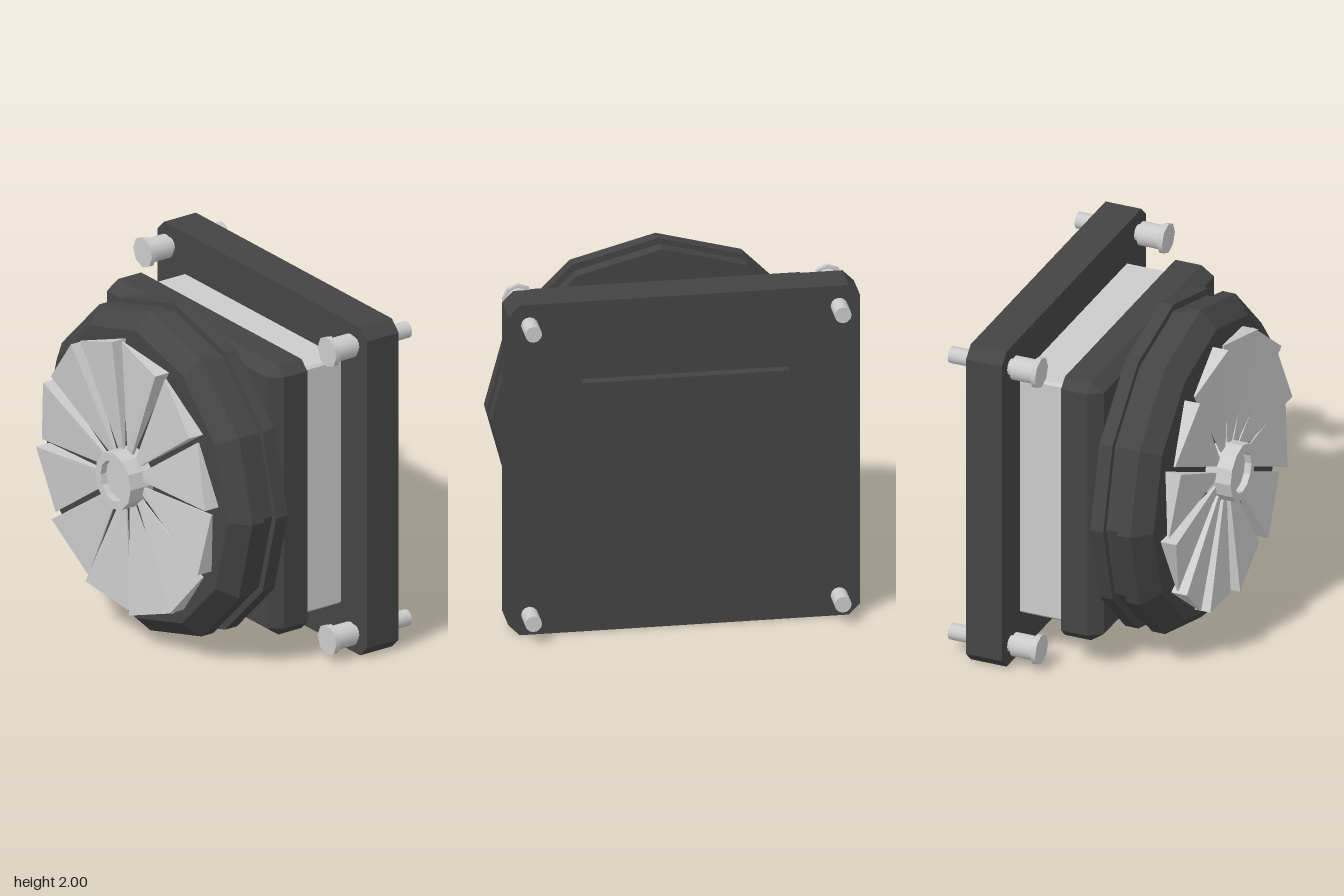
import * as THREE from 'three';

const DARK = 0x444444, GREY = 0xcccccc;

function makeMesh(name, geometry, color, flat = true) {
  const mesh = new THREE.Mesh(geometry, new THREE.MeshStandardMaterial({ color, flatShading: flat }));
  mesh.name = name;
  return mesh;
}

// Skin a run of equal-length point loops (counter-clockwise about the travel direction), capped at both ends
function loft(sections) {
  const n = sections[0].length, last = (sections.length - 1) * n, index = [];
  for (let s = 0; s < sections.length - 1; s++) {
    for (let i = 0; i < n; i++) {
      const a = s * n + i, b = s * n + (i + 1) % n;
      index.push(a, b, b + n, a, b + n, a + n);
    }
  }
  for (let i = 1; i < n - 1; i++) {
    index.push(0, i + 1, i, last, last + i, last + i + 1);
  }
  const geometry = new THREE.BufferGeometry();
  geometry.setAttribute('position', new THREE.Float32BufferAttribute(sections.flat(2), 3));
  geometry.setIndex(index);
  const out = geometry.toNonIndexed();
  out.computeVertexNormals();
  return out;
}

// Square with half-width h and corners cut by c, at depth z
function cutSquare(h, c, z) {
  const k = h - c;
  return [[h, -k], [h, k], [k, h], [-k, h], [-h, k], [-h, -k], [-k, -h], [k, -h]].map(([x, y]) => [x, y, z]);
}

// Solid of revolution about z from [radius, z] points
function turned(profile, sides) {
  const points = profile.map(([r, z]) => new THREE.Vector2(r, z));
  return new THREE.LatheGeometry(points, sides).rotateX(Math.PI / 2);
}

// Cylinder along z between two depths
function rod(radius, z0, z1, sides) {
  return new THREE.CylinderGeometry(radius, radius, z1 - z0, sides)
    .rotateX(Math.PI / 2).translate(0, 0, (z0 + z1) / 2);
}

// Wedge blade: thin at the hub and along one edge, thick at the other outer corner
function bladeGeometry() {
  const loop = (r, thickLow, thickHigh) => {
    const half = Math.PI / 12 - Math.asin(0.0175 / r);
    const x = r * Math.cos(half), y = r * Math.sin(half);
    return [[x, -y, -thickLow], [x, y, -thickHigh], [x, y, thickHigh], [x, -y, thickLow]];
  };
  return loft([loop(0.14, 0.006, 0.004), loop(0.81, 0.048, 0.005)]);
}

export function createModel() {
  const model = new THREE.Group();
  model.name = 'fanUnit';
  const body = new THREE.Group();
  body.name = 'body';
  body.position.y = 1;
  model.add(body);

  // Mounting plate with raised back pad
  body.add(makeMesh('mountingPlate', loft([cutSquare(1, 0.065, -0.555), cutSquare(1, 0.065, -0.335)]), DARK));
  const pad = makeMesh('backPad', new THREE.BoxGeometry(1.176, 1.05, 0.07), DARK);
  pad.position.set(0, 0.005, -0.58);
  body.add(pad);

  // Pale core between plate and front block
  body.add(makeMesh('core', loft([cutSquare(0.75, 0.015, -0.34), cutSquare(0.75, 0.015, -0.04)]), GREY));

  // Front block with bevelled front
  body.add(makeMesh('frontBlock', loft([
    cutSquare(0.82, 0.055, -0.052), cutSquare(0.82, 0.055, 0.108), cutSquare(0.765, 0, 0.186),
  ]), DARK));

  // Grooved twelve-sided disc
  body.add(makeMesh('groovedDisc', turned([
    [0, 0.195], [0.975, 0.195], [0.975, 0.275], [0.935, 0.275], [0.935, 0.36],
    [0.975, 0.36], [0.975, 0.44], [0.875, 0.54], [0, 0.54],
  ], 12), DARK));

  // Fan: hub with a shallow recess, and twelve blades
  const fan = new THREE.Group();
  fan.name = 'fan';
  body.add(fan);
  fan.add(makeMesh('hub', turned([
    [0.17, 0.53], [0.17, 0.7], [0.12, 0.7], [0.12, 0.66], [0, 0.66],
  ], 12), GREY));
  const blade = bladeGeometry();
  for (let i = 0; i < 12; i++) {
    const mesh = makeMesh('blade', blade, GREY);
    mesh.position.z = 0.6;
    mesh.rotation.z = THREE.MathUtils.degToRad(19.5 + 30 * i);
    fan.add(mesh);
  }

  // Corner bolts: flange, head and shank
  for (const sx of [-1, 1]) {
    for (const sy of [-1, 1]) {
      const bolt = new THREE.Group();
      bolt.name = 'bolt';
      bolt.position.set(sx * 0.88, sy * 0.878, 0);
      bolt.add(makeMesh('boltFlange', rod(0.09, -0.175, -0.145, 8), GREY, false));
      bolt.add(makeMesh('boltHead', rod(0.07, -0.31, -0.17, 16), GREY, false));
      bolt.add(makeMesh('boltShank', rod(0.048, -0.7, -0.3, 12), GREY, false));
      body.add(bolt);
    }
  }
  return model;
}
